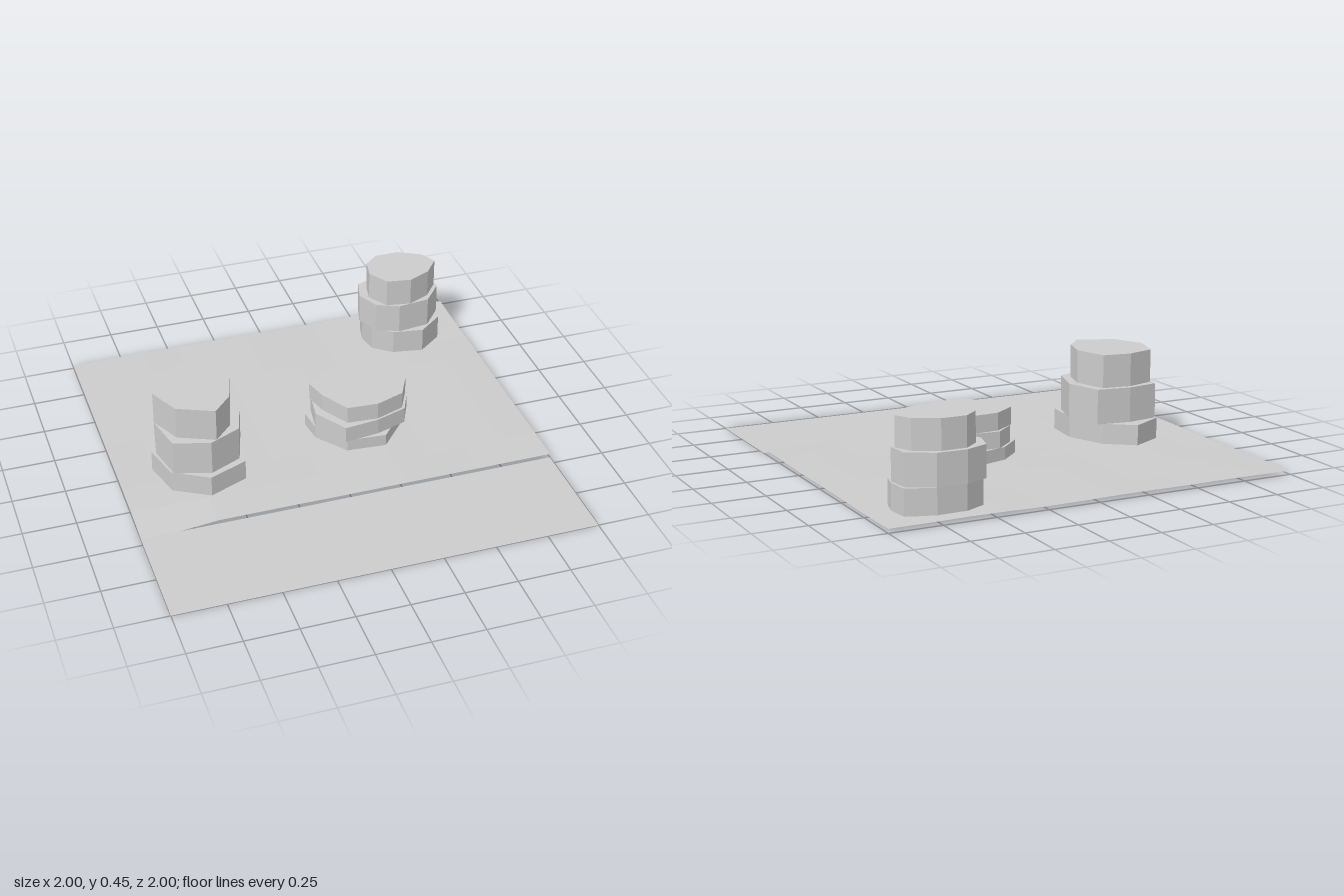
import * as THREE from 'three';

const stone = new THREE.MeshStandardMaterial({ color: 0xcccccc, flatShading: true, side: THREE.DoubleSide });
stone.name = 'pale grey';

const CELL = 2 / 11;          // terrain grid spacing
const SHORE = 1 - 3 * CELL;   // z where the raised ground ends

// Each rock is a stack of irregular prisms: [bottom, top, outline as x, z pairs]
const rocks = {
  tallRock: [
    [0, 0.12, [-0.615, -0.3, -0.48, -0.2, -0.41, 0, -0.43, 0.19, -0.615, 0.265, -0.78, 0.17, -0.83, -0.015, -0.775, -0.21]],
    [0.12, 0.29, [-0.615, -0.225, -0.45, -0.2, -0.395, -0.02, -0.45, 0.16, -0.6, 0.23, -0.77, 0.18, -0.81, 0, -0.77, -0.2]],
    [0.29, 0.45, [-0.63, -0.2, -0.49, -0.18, -0.44, -0.02, -0.48, 0.12, -0.57, 0.215, -0.74, 0.14, -0.81, -0.01, -0.765, -0.16]],
  ],
  lowRock: [
    [0, 0.08, [0.25, -0.29, 0.41, -0.19, 0.44, -0.04, 0.28, 0.145, 0.09, 0.13, -0.02, -0.02, -0.035, -0.14, 0.07, -0.24]],
    [0.08, 0.16, [0.1, -0.25, 0.25, -0.24, 0.41, -0.18, 0.455, -0.05, 0.4, 0.07, 0.25, 0.12, 0.08, 0.14, -0.02, -0.02, 0, -0.16]],
    [0.16, 0.245, [0.25, -0.24, 0.41, -0.16, 0.45, -0.06, 0.39, 0.06, 0.25, 0.11, 0.1, 0.1, 0.02, -0.04, -0.01, -0.15, 0.1, -0.23]],
  ],
  backRock: [
    [0, 0.14, [0.5, -0.87, 0.6, -0.92, 0.74, -0.92, 0.87, -0.87, 0.88, -0.76, 0.86, -0.68, 0.74, -0.585, 0.59, -0.61, 0.5, -0.68, 0.48, -0.78]],
    [0.14, 0.29, [0.49, -0.88, 0.6, -0.925, 0.74, -0.92, 0.86, -0.85, 0.87, -0.74, 0.78, -0.63, 0.62, -0.61, 0.51, -0.66, 0.46, -0.77]],
    [0.29, 0.43, [0.52, -0.84, 0.59, -0.9, 0.71, -0.9, 0.82, -0.84, 0.86, -0.76, 0.79, -0.67, 0.68, -0.62, 0.56, -0.64, 0.5, -0.74]],
  ],
};

// Prism with side walls and a top, open underneath
function layerGeometry(y0, y1, outline) {
  const n = outline.length / 2;
  const points = [];
  for (let i = 0; i < n; i++) points.push(new THREE.Vector2(outline[2 * i], outline[2 * i + 1]));
  const centre = points.reduce((c, p) => c.addScaledVector(p, 1 / n), new THREE.Vector2());
  const position = [];
  points.forEach((a, i) => {
    const b = points[(i + 1) % n];
    position.push(a.x, y0, a.y, a.x, y1, a.y, b.x, y1, b.y);
    position.push(a.x, y0, a.y, b.x, y1, b.y, b.x, y0, b.y);
    position.push(a.x, y1, a.y, centre.x, y1, centre.y, b.x, y1, b.y);
  });
  const geometry = new THREE.BufferGeometry();
  geometry.setAttribute('position', new THREE.Float32BufferAttribute(position, 3));
  geometry.computeVertexNormals();
  return geometry;
}

// Gentle bumps, dropping to zero at the left front corner
function groundHeight(x, z) {
  if (z > SHORE - 0.01 && x < -0.8) return 0;
  const bump = 0.003 * Math.sin(x * 7.3 + z * 3.1) * Math.cos(z * 5.7 - x * 2.2);
  const edge = x < -0.99 && z > 0.2 ? -0.004 : 0;
  return 0.019 + (z > SHORE - 0.01 ? 0.3 : 1) * bump + edge;
}

export function createModel() {
  const model = new THREE.Group();
  model.name = 'rockyGround';

  // Raised uneven ground
  const sheet = new THREE.PlaneGeometry(2, 8 * CELL, 11, 8).rotateX(-Math.PI / 2);
  sheet.translate(0, 0, (SHORE - 1) / 2);
  const p = sheet.attributes.position;
  for (let i = 0; i < p.count; i++) p.setY(i, groundHeight(p.getX(i), p.getZ(i)));
  sheet.computeVertexNormals();
  const ground = new THREE.Mesh(sheet, stone);
  ground.name = 'raisedGround';
  model.add(ground);

  // Flat strip along the front, slightly lower
  const strip = new THREE.PlaneGeometry(2, 3 * CELL).rotateX(-Math.PI / 2);
  strip.translate(0, 0, (SHORE + 1) / 2);
  const front = new THREE.Mesh(strip, stone);
  front.name = 'frontStrip';
  model.add(front);

  // Layered rocks
  for (const [name, layers] of Object.entries(rocks)) {
    const rock = new THREE.Group();
    rock.name = name;
    layers.forEach((layer, i) => {
      const mesh = new THREE.Mesh(layerGeometry(...layer), stone);
      mesh.name = 'rockLayer' + (i + 1);
      rock.add(mesh);
    });
    model.add(rock);
  }
  return model;
}
